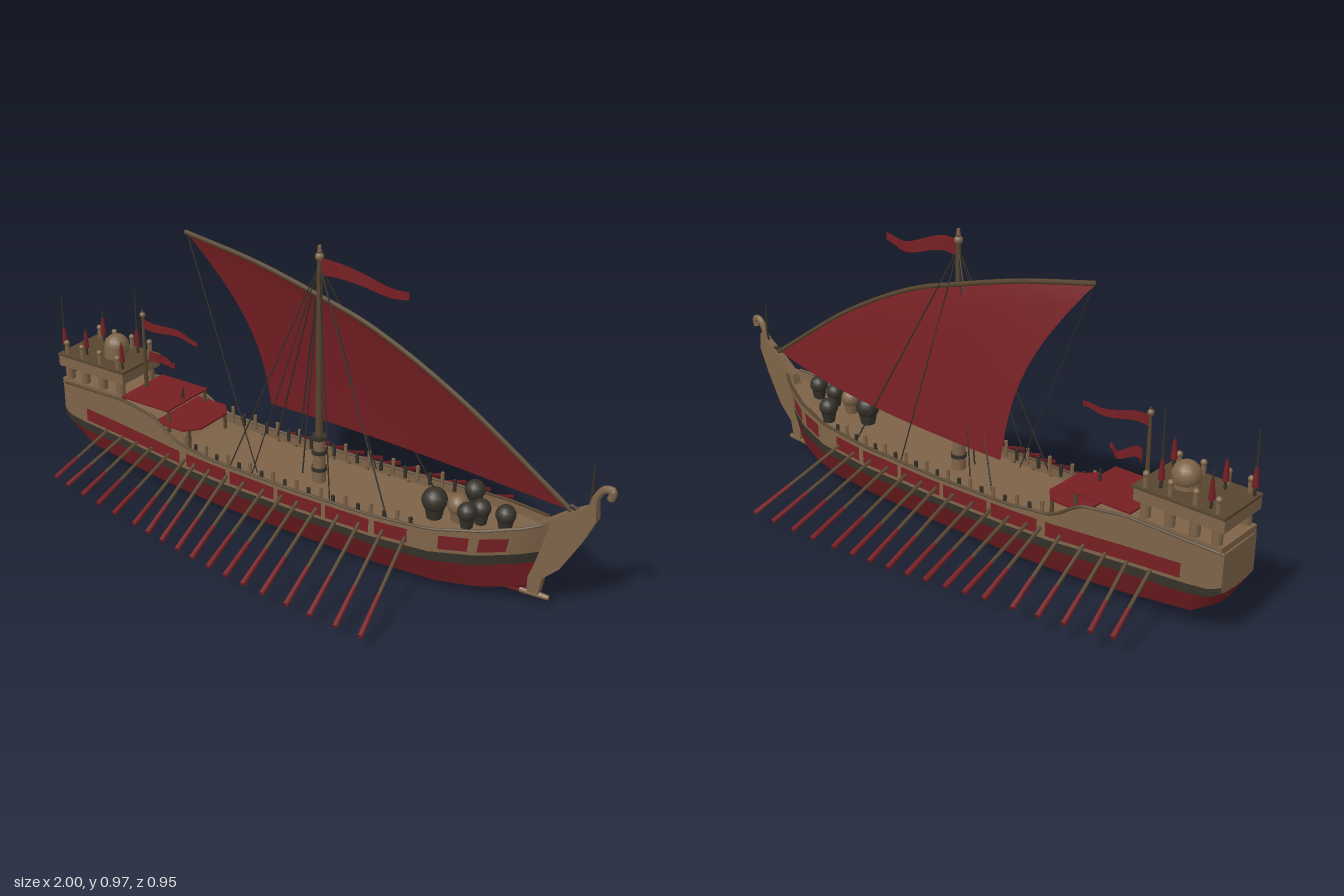
import * as THREE from 'three';

const mat = (name, color, side = THREE.FrontSide) => {
  const m = new THREE.MeshStandardMaterial({ color, side });
  m.name = name;
  return m;
};
const V = (x, y, z) => new THREE.Vector3(x, y, z);

// Hull stations: x, keel height, half width, chine height, band bottom, band top, rail height
const STATIONS = [
  [-1, .16, .085, .165, .17, .19, .29], [-.97, .10, .092, .115, .15, .175, .295],
  [-.9, .05, .1, .07, .14, .17, .3], [-.7, .025, .112, .045, .13, .16, .31],
  [-.55, .017, .128, .035, .125, .155, .295], [-.46, .012, .135, .03, .12, .15, .235],
  [-.3, .007, .146, .026, .12, .148, .22], [0, .001, .15, .025, .12, .145, .215],
  [.3, .005, .15, .027, .12, .148, .22], [.5, .015, .142, .035, .13, .16, .235],
  [.65, .027, .105, .045, .14, .175, .26], [.77, .04, .05, .06, .155, .19, .285],
  [.84, .05, .004, .07, .16, .2, .31],
];
function station(x) {
  let i = 0;
  while (i < STATIONS.length - 2 && x > STATIONS[i + 1][0]) i++;
  const a = STATIONS[i], b = STATIONS[i + 1];
  const t = THREE.MathUtils.clamp((x - a[0]) / (b[0] - a[0]), 0, 1);
  const [, keel, w, chine, bandLow, bandTop, rail] = a.map((v, k) => v + (b[k] - v) * t);
  return { keel, w, chine, bandLow, bandTop, rail };
}
// The stem leans forward, so low points at the bow move aft
const hullPoint = (x, y, z, rail) =>
  V(x - THREE.MathUtils.clamp((x - .5) / .34, 0, 1) * .28 * (rail - y), y, z);

// Surface from a rule f(u, v), with u and v from 0 to 1
function grid(nu, nv, f) {
  const pos = [], idx = [];
  for (let i = 0; i <= nu; i++) for (let j = 0; j <= nv; j++) pos.push(...f(i / nu, j / nv).toArray());
  for (let i = 0; i < nu; i++) for (let j = 0; j < nv; j++) {
    const a = i * (nv + 1) + j, b = a + nv + 1;
    idx.push(a, b, a + 1, b, b + 1, a + 1);
  }
  const g = new THREE.BufferGeometry();
  g.setAttribute('position', new THREE.Float32BufferAttribute(pos, 3));
  g.setIndex(idx);
  g.computeVertexNormals();
  return g;
}

export function createModel() {
  const model = new THREE.Group();
  const wood = mat('wood', 0x7d6348, THREE.DoubleSide);
  const darkWood = mat('dark wood', 0x57452f);
  const red = mat('red', 0x761f23, THREE.DoubleSide);
  const dark = mat('dark trim', 0x35312a, THREE.DoubleSide);

  const add = (name, geo, m, x = 0, y = 0, z = 0) => {
    const mesh = new THREE.Mesh(geo, m);
    mesh.name = name;
    mesh.position.set(x, y, z);
    model.add(mesh);
    return mesh;
  };
  const box = (name, m, w, h, d, x, y, z) => add(name, new THREE.BoxGeometry(w, h, d), m, x, y, z);
  const ball = (name, m, r, x, y, z) => add(name, new THREE.SphereGeometry(r, 14, 10), m, x, y, z);
  const rod = (name, m, a, b, r0, r1 = r0, sides = 6) => {
    const d = b.clone().sub(a), mid = a.clone().lerp(b, .5);
    const mesh = add(name, new THREE.CylinderGeometry(r1, r0, d.length(), sides), m, mid.x, mid.y, mid.z);
    mesh.quaternion.setFromUnitVectors(V(0, 1, 0), d.normalize());
    return mesh;
  };
  const tube = (name, m, pts, r, n = 40) =>
    add(name, new THREE.TubeGeometry(new THREE.CatmullRomCurve3(pts), n, r, 6), m);

  // Hull strips on each side, between two rules giving [height, half width]
  const strip = (name, m, low, high, side, x0 = -1, x1 = .84, out = 0) => {
    const n = Math.max(3, Math.round((x1 - x0) / .02));
    add(name, grid(n, 1, (u, v) => {
      const x = x0 + (x1 - x0) * u, s = station(x), a = low(s), b = high(s);
      return hullPoint(x, a[0] + (b[0] - a[0]) * v, side * (a[1] + (b[1] - a[1]) * v + out), s.rail);
    }), m);
  };
  const keel = s => [s.keel, 0], chine = s => [s.chine, s.w * .68];
  const bandLow = s => [s.bandLow, s.w * .99], bandTop = s => [s.bandTop, s.w];
  const rail = s => [s.rail, s.w * .98];
  const patches = [[-.88, -.44], [-.41, -.24], [-.225, -.05], [-.035, .13], [.145, .3], [.32, .43], [.53, .62], [.65, .73]];
  for (const side of [-1, 1]) {
    strip('hullBottom', red, keel, chine, side);
    strip('hullBilge', red, chine, bandLow, side);
    strip('hullBand', dark, bandLow, bandTop, side);
    strip('hullSide', wood, bandTop, rail, side);
    for (const [a, b] of patches) strip('paintedPanel', red, s => [s.bandTop + .012, s.w],
      s => [Math.min(s.bandTop + .058, s.rail - .014), s.w], side, a, b, .002);
    const edge = [];
    for (let x = -1; x <= .84; x += .04) {
      const s = station(x);
      edge.push(V(x, s.rail, side * s.w * .98));
    }
    tube('rail', darkWood, edge, .005, 80);
    // Pegs along the rail
    for (let x = -.42; x < .45; x += .045) {
      const s = station(x), h = Math.round(x * 100) % 3 === 0 ? .035 : .02;
      rod('railPeg', h > .03 ? wood : dark, V(x, s.rail - .02, side * s.w * .93), V(x, s.rail + h, side * s.w * .93), .006);
    }
  }
  add('deck', grid(80, 2, (u, v) => {
    const x = -1 + 1.82 * u, s = station(x);
    return hullPoint(x, s.rail - .035, (1 - 2 * v) * s.w * .98, s.rail);
  }), wood);
  const end = station(-1), transom = new THREE.Shape();
  transom.moveTo(0, end.keel);
  [chine(end), bandLow(end), rail(end)].forEach(([y, z]) => transom.lineTo(z, y));
  [rail(end), bandLow(end), chine(end)].forEach(([y, z]) => transom.lineTo(-z, y));
  add('transom', new THREE.ShapeGeometry(transom), wood, -1).rotation.y = -Math.PI / 2;

  // Carved stem, forefoot and ram
  const plate = (name, m, pts, d) => {
    const g = new THREE.ExtrudeGeometry(new THREE.Shape(pts.map(p => new THREE.Vector2(...p))), { depth: d, bevelEnabled: false });
    return add(name, g.translate(0, 0, -d / 2), m);
  };
  plate('stem', wood, [[.765, .05], [.8, .05], [.81, .11], [.86, .16], [.92, .27], [.955, .35], [.95, .41],
    [.925, .385], [.86, .345], [.79, .29], [.765, .2]], .03);
  plate('forefoot', red, [[.58, .03], [.79, .035], [.77, .15], [.6, .12]], .012);
  rod('ram', wood, V(.74, .042, 0), V(.83, .042, 0), .012, .008, 8);
  tube('figurehead', wood, [V(.93, .36, 0), V(.945, .42, 0), V(.965, .45, 0), V(.99, .452, 0), V(.985, .425, 0)], .012, 20);
  ball('figureheadTip', wood, .012, .988, .45, 0);
  rod('bowSpike', dark, V(.93, .38, 0), V(.93, .52, 0), .006, .002);
  rod('bowCleat', dark, V(.87, .37, 0), V(.9, .36, 0), .007);

  // Mast
  rod('mast', darkWood, V(.02, .17, 0), V(.02, .95, 0), .014, .008, 10);
  rod('mastFoot', wood, V(.02, .17, 0), V(.02, .33, 0), .024, .018, 10);
  for (const y of [.22, .28, .33]) rod('mastBand', dark, V(.02, y, 0), V(.02, y + .012, 0), .026, .026, 10);
  ball('mastCap', wood, .014, .02, .935, 0);
  rod('mastTip', wood, V(.02, .93, 0), V(.02, .97, 0), .009, .005);

  // Yard and billowing sail
  const yard = new THREE.CatmullRomCurve3([V(-.49, .913, 0), V(-.23, .865, -.012), V(.02, .8, -.016),
    V(.2, .745, -.014), V(.49, .605, -.008), V(.88, .35, 0)]);
  add('yard', new THREE.TubeGeometry(yard, 50, .008, 6), darkWood);
  add('sail', grid(40, 16, (u, v) => {
    const p = yard.getPoint(u * .99);
    const foot = V(-.245 + 1.1 * u, .333 + .022 * u ** 4, -.11 * (1 - u ** 2.2));
    return V(p.x + (foot.x - p.x) * v + Math.sin(Math.PI * v) * .07 * (1 - u) ** 2,
      p.y + (foot.y - p.y) * v, p.z + (foot.z - p.z) * v ** .8);
  }), red);

  // Rigging
  for (const side of [-1, 1]) for (const x of [-.24, -.15, .15, .36])
    rod('shroud', dark, V(.02, .91, 0), V(x, .2, side * .135), .0025, .0025, 4);
  rod('vang', dark, V(-.48, .905, 0), V(-.15, .2, .1), .002, .002, 4);
  rod('stay', dark, V(.02, .9, 0), V(-.03, .2, .02), .0025, .0025, 4);

  // Flags: rippling ribbons of given length, drop and height
  const flag = (name, x, y, len, drop, h, amp) => add(name, grid(20, 2, (u, v) =>
    V(x + len * u, y - drop * u + amp * Math.sin(u * 7) - h * (v - .5) * (1 - .55 * u), .012 * Math.sin(u * 8))), red);
  flag('mastPennant', .025, .905, .31, .03, .055, .011);
  flag('sternFlag', -.69, .557, .24, .018, .035, .001);
  flag('sternPennant', -.67, .44, .12, .006, .04, .008);

  // Stern castle
  box('castleFloor', wood, .29, .04, .19, -.855, .378, 0);
  box('castleTrim', darkWood, .296, .008, .196, -.853, .4, 0);
  box('castleBase', wood, .27, .02, .18, -.86, .3, 0);
  for (const side of [-1, 1]) for (const x of [-.97, -.9, -.82, -.74]) {
    rod('castlePillar', wood, V(x, .28, side * .075), V(x, .36, side * .075), .016, .016, 8);
    rod('castlePost', wood, V(x, .4, side * .082), V(x, .44, side * .082), .008);
    ball('postKnob', wood, .01, x, .444, side * .082);
  }
  add('domeDrum', new THREE.CylinderGeometry(.038, .042, .045, 16), wood, -.82, .42, 0);
  ball('dome', wood, .043, -.82, .44, -.005);
  for (const [x, y, z] of [[-.99, .6, .07], [-.94, .52, -.07], [-.91, .5, .05], [-.775, .635, -.06], [-.73, .5, .07]]) {
    rod('sternStaff', dark, V(x, .39, z), V(x, y, z), .005, .002);
    rod('staffBanner', red, V(x, .43, z), V(x, .49, z), .01, .005);
  }
  rod('flagPole', darkWood, V(-.69, .3, 0), V(-.69, .6, 0), .008, .004);
  ball('flagPoleKnob', wood, .01, -.69, .585, 0);

  // Awning in two steps with its posts
  box('upperAwning', red, .2, .006, .21, -.61, .318, 0);
  const lower = new THREE.Shape([[-.56, -.115], [-.44, -.115], [-.4, -.07], [-.4, .07], [-.44, .115], [-.56, .115]]
    .map(p => new THREE.Vector2(...p)));
  add('lowerAwning', new THREE.ExtrudeGeometry(lower, { depth: .006, bevelEnabled: false }), red, 0, .268, 0).rotation.x = -Math.PI / 2;
  for (const side of [-1, 1]) {
    rod('awningPost', darkWood, V(-.515, .24, side * .095), V(-.515, .32, side * .095), .006);
    rod('awningPost', darkWood, V(-.43, .19, side * .095), V(-.43, .27, side * .095), .006);
  }
  rod('awningFinial', dark, V(-.53, .31, 0), V(-.53, .36, 0), .006, .003);

  // Jars and bundles on the foredeck
  for (const [x, y, z, r, m] of [[.45, .26, .02, .04, dark], [.53, .27, -.085, .032, dark], [.53, .27, .02, .034, wood],
    [.58, .28, .06, .03, dark], [.6, .275, .01, .03, dark], [.68, .28, .01, .031, dark]]) {
    ball('jar', m, r, x, y, z);
    rod('jarFoot', m, V(x, y - r - .02, z), V(x, y, z), r * .6, r * .9, 10);
  }

  // Oars: inner x, outer x and reach, with painted blades
  const inner = [-.785, -.71, -.64, -.57, -.49, -.42, -.375, -.31, -.24, -.17, -.09, -.02, .04, .11, .19, .265, .345, .42];
  const outer = [-.825, -.76, -.68, -.6, -.52, -.425, -.36, -.295, -.225, -.16, -.09, -.02, .05, .125, .215, .3, .39, .475];
  inner.forEach((x, i) => {
    const t = i / 17, reach = .33 + .14 * (1 - (1 - t) ** 1.7), w = station(x).w - .01;
    for (const side of [-1, 1]) {
      const a = V(x, .14 + .045 * Math.min(1, w / .13), side * w);
      const b = V(outer[i], .042 + (.47 - reach) * .25, side * reach), m = a.clone().lerp(b, .6);
      rod('oar', darkWood, a, m, .006);
      rod('oarBlade', red, m, b, .007, .009);
    }
  });
  return model;
}
